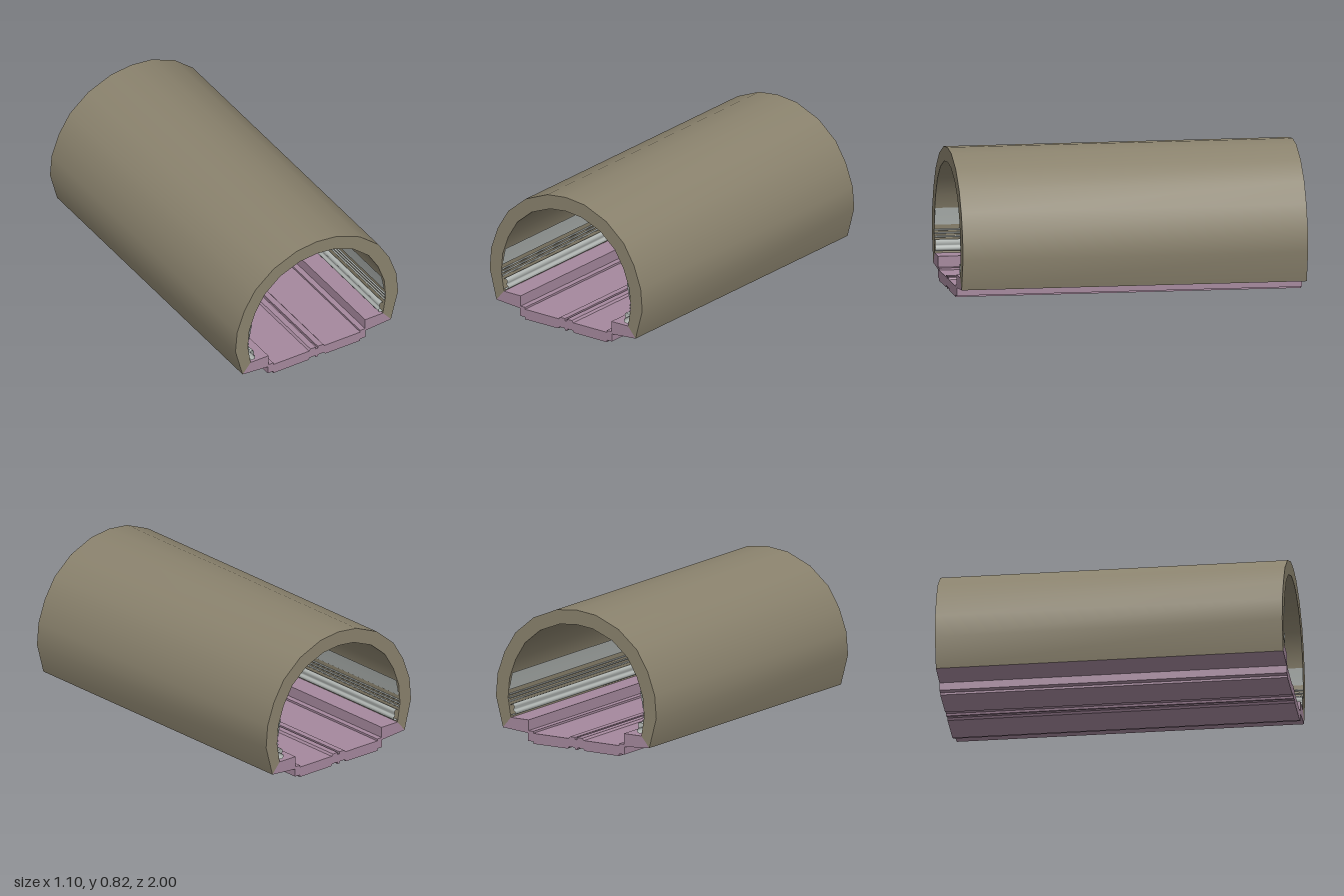
import * as THREE from 'three';
import { toCreasedNormals } from 'three/addons/utils/BufferGeometryUtils.js';

const LENGTH = 2;

function material(name, color, side = THREE.FrontSide) {
  const m = new THREE.MeshStandardMaterial({ color, side });
  m.name = name;
  return m;
}

// Mirror a half section (listed from the centre outwards) across x = 0
const mirrored = (pts) => pts.map(([x, y]) => [-x, y]).reverse();

// Solid running the whole tunnel length
function prism(points, crease) {
  const shape = new THREE.Shape(points.map(([x, y]) => new THREE.Vector2(x, y)));
  const geo = new THREE.ExtrudeGeometry(shape, { depth: LENGTH, bevelEnabled: false });
  geo.translate(0, 0, -LENGTH / 2);
  return toCreasedNormals(geo, crease);
}

// Thin open sheet following a profile along the tunnel
function sheet(points, side) {
  const geo = new THREE.PlaneGeometry(1, LENGTH, points.length - 1, 1);
  const pos = geo.attributes.position;
  for (let i = 0; i < pos.count; i++) {
    const [x, y] = points[i % points.length];
    pos.setXYZ(i, x * side, y, i < points.length ? LENGTH / 2 : -LENGTH / 2);
  }
  geo.computeVertexNormals();
  return geo;
}

export function createModel() {
  const group = new THREE.Group();
  const concrete = material('olive concrete', 0x8a826d);
  const paving = material('mauve paving', 0xa5889d);
  const metal = material('grey metal', 0xb0b5b2, THREE.DoubleSide);

  const add = (name, geo, mat) => {
    const mesh = new THREE.Mesh(geo, mat);
    mesh.name = name;
    group.add(mesh);
    return mesh;
  };

  // Vaulted lining
  const outer = [[0.135, 0.805], [0.29, 0.741], [0.415, 0.637], [0.489, 0.517],
    [0.537, 0.384], [0.548, 0.251], [0.5, 0.072]];
  const inner = [[0.114, 0.723], [0.247, 0.67], [0.35, 0.584], [0.414, 0.479],
    [0.455, 0.366], [0.465, 0.251], [0.446, 0.136]];
  const lining = [
    ...mirrored(outer), [0, 0.82], ...outer,
    ...inner.slice().reverse(), [0, 0.735], ...inner.map(([x, y]) => [-x, y]),
  ];
  add('tunnelLining', prism(lining, 0.5), concrete);

  // Floor slab with kerbs, raised walkways and a central drain
  const top = [[0.007, 0.06], [0.007, 0.073], [0.042, 0.073], [0.052, 0.061],
    [0.293, 0.061], [0.293, 0.073], [0.326, 0.073], [0.326, 0.136], [0.446, 0.136]];
  const bottom = [[0.006, 0.001], [0.01, 0.013], [0.048, 0.013], [0.057, 0.001],
    [0.293, 0], [0.293, 0.013], [0.33, 0.013], [0.33, 0.059], [0.5, 0.072]];
  const floor = [
    ...mirrored(top), ...top,
    ...bottom.slice().reverse(), ...bottom.map(([x, y]) => [-x, y]),
  ];
  add('floorSlab', prism(floor, 0.1), paving);

  // Fittings on both walls
  const duct = [[0.451, 0.207], [0.445, 0.214], [0.437, 0.216], [0.427, 0.211],
    [0.422, 0.2], [0.428, 0.186], [0.427, 0.179], [0.418, 0.173], [0.415, 0.164],
    [0.42, 0.155], [0.43, 0.15], [0.445, 0.152]];
  for (const side of [1, -1]) {
    const label = side > 0 ? 'left' : 'right';
    add(label + 'CableDuct', sheet(duct, side), metal);
    add(label + 'WallPanel', sheet([[0.437, 0.398], [0.447, 0.35], [0.456, 0.298]], side), metal);

    // Cables clipped to the wall
    for (const [x, y] of [[0.46, 0.268], [0.46, 0.248], [0.459, 0.228]]) {
      const cable = new THREE.CylinderGeometry(0.005, 0.005, LENGTH, 8, 1, true);
      cable.rotateX(Math.PI / 2);
      add(label + 'Cable', cable, metal).position.set(x * side, y, 0);
    }
  }
  return group;
}
